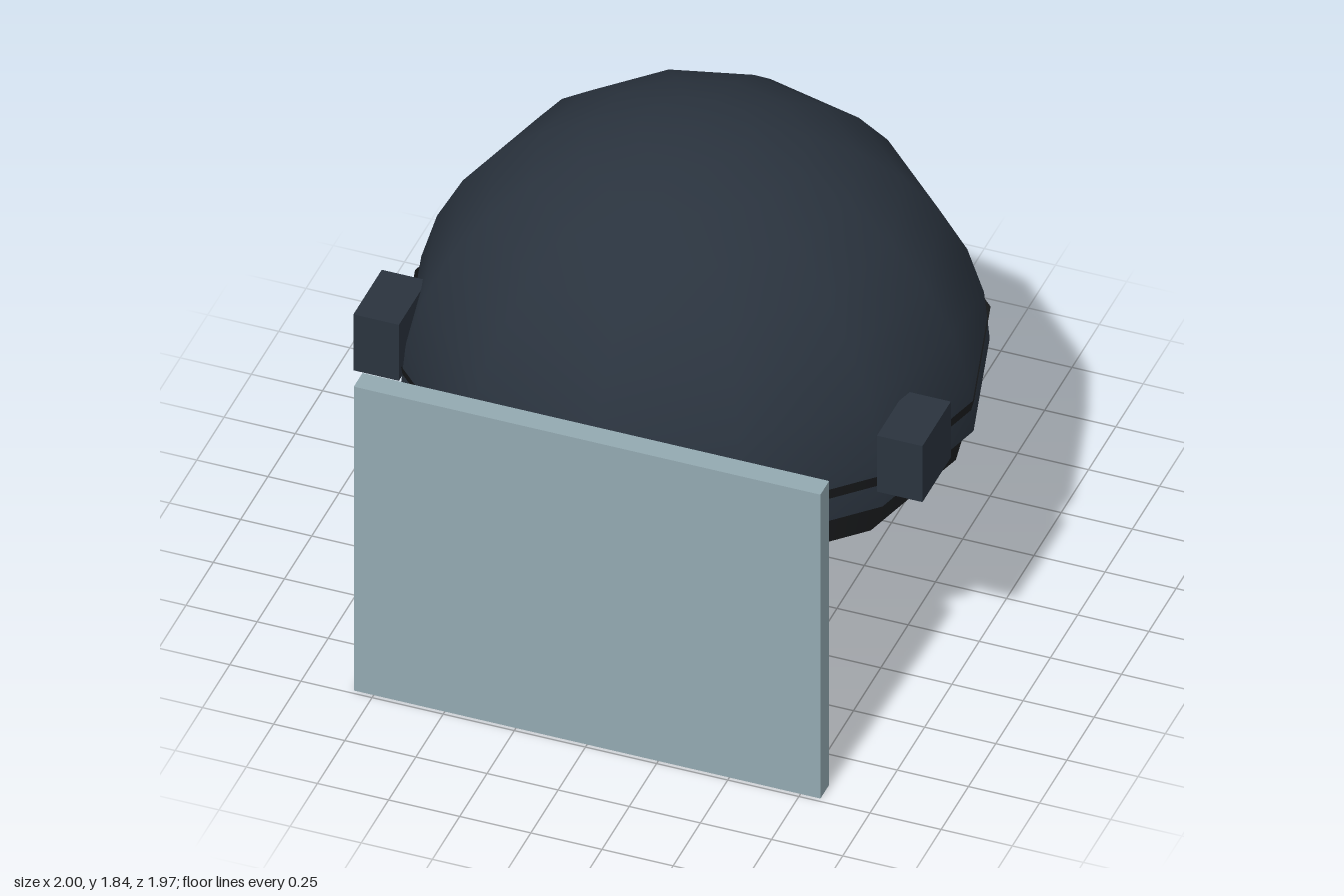
import * as THREE from 'three';

const navy = new THREE.MeshStandardMaterial({ color: 0x2a333e, side: THREE.DoubleSide });
const black = new THREE.MeshStandardMaterial({ color: 0x1b1d1f, side: THREE.DoubleSide });
const glass = new THREE.MeshStandardMaterial({ color: 0x93a9b1 });

export function createModel() {
  const group = new THREE.Group();
  const add = (name, geometry, material, x, y, z) => {
    const mesh = new THREE.Mesh(geometry, material);
    mesh.name = name;
    mesh.position.set(x, y, z);
    group.add(mesh);
    return mesh;
  };

  // Open twelve-sided hemisphere shell
  add('helmetDome', new THREE.SphereGeometry(0.98, 12, 8, 0, Math.PI * 2, 0, Math.PI / 2), navy, 0, 0.86, 0);

  // Tapered rim band, partly hidden by the dome's lower edge
  add('rimBand', new THREE.CylinderGeometry(0.983, 0.918, 0.265, 12, 1, true), black, 0, 0.8575, 0);

  // Flat face shield
  add('faceShield', new THREE.BoxGeometry(1.64, 1.25, 0.08), glass, 0, 0.625, 0.945);

  // Hinge blocks on both sides
  for (const side of [1, -1]) {
    add(side > 0 ? 'leftHinge' : 'rightHinge', new THREE.BoxGeometry(0.16, 0.23, 0.26), navy, side * 0.92, 1.055, 0.39);
  }
  return group;
}
